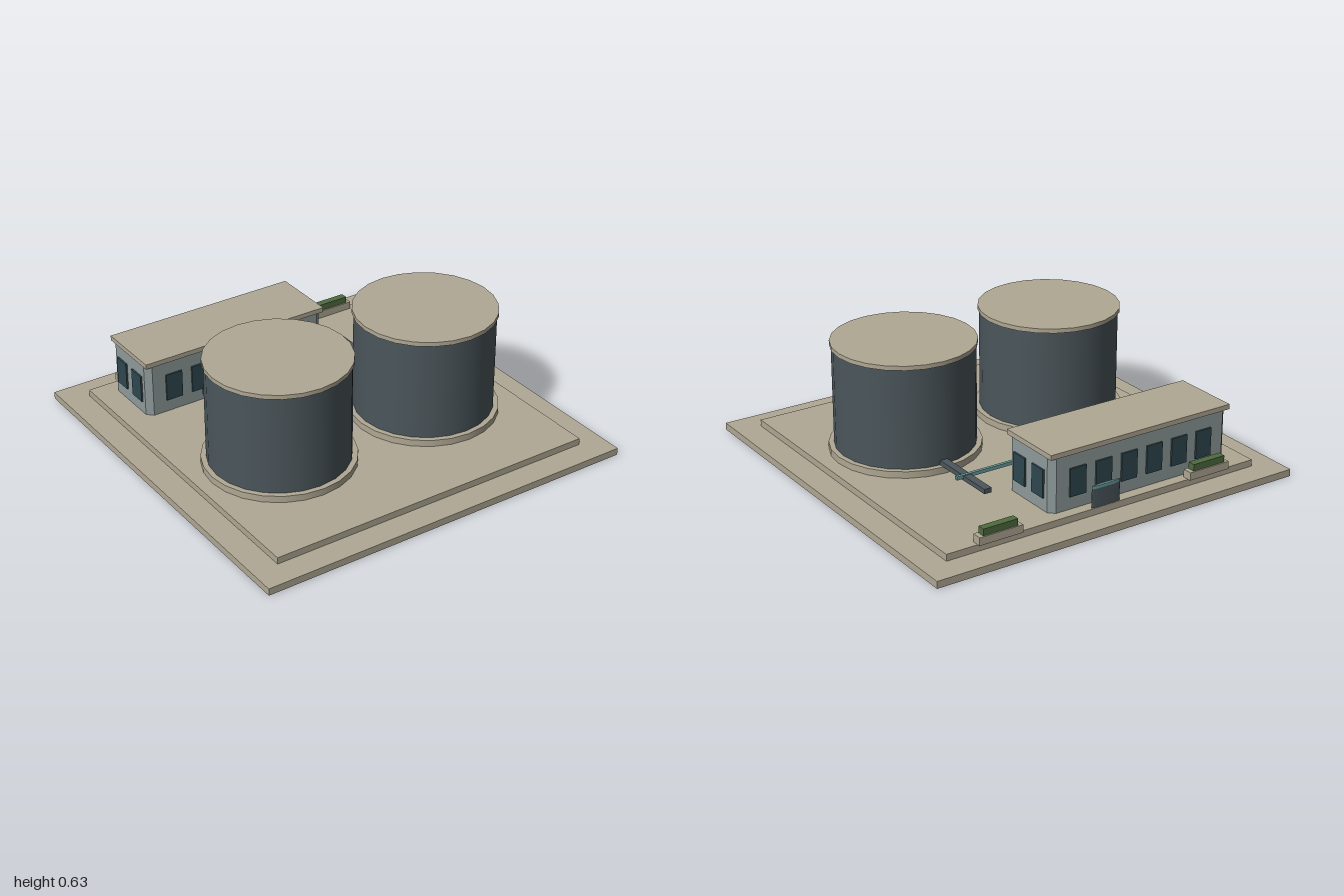
import * as THREE from 'three';

const mat = (color) => new THREE.MeshStandardMaterial({ color });
const concrete = mat(0xb0a894), steel = mat(0x4b565b), wall = mat(0x8e9a9a);
const glass = mat(0x2f474f), teal = mat(0x6a9c9c), hedge = mat(0x4f6b3f);

export function createModel() {
  const root = new THREE.Group();

  const add = (parent, name, geometry, material, x, y, z) => {
    const mesh = new THREE.Mesh(geometry, material);
    mesh.name = name;
    mesh.position.set(x, y, z);
    parent.add(mesh);
    return mesh;
  };
  // Box and drum are placed by their underside
  const box = (parent, name, m, w, h, d, x, y, z) =>
    add(parent, name, new THREE.BoxGeometry(w, h, d), m, x, y + h / 2, z);
  const drum = (parent, name, m, r, h, x, y, z) =>
    add(parent, name, new THREE.CylinderGeometry(r, r, h, 24), m, x, y + h / 2, z);
  const group = (name) => {
    const g = new THREE.Group();
    g.name = name;
    root.add(g);
    return g;
  };

  // Stepped ground slab
  box(root, 'groundSlab', concrete, 2, 0.036, 2, 0, 0, 0);
  box(root, 'yardSlab', concrete, 1.738, 0.034, 1.738, 0, 0.036, 0);

  // Two storage tanks, each with an outlet pipe
  for (const s of [-1, 1]) {
    const tank = group(s > 0 ? 'leftTank' : 'rightTank');
    drum(tank, 'tankFooting', concrete, 0.375, 0.034, s * 0.423, 0.07, 0.2);
    drum(tank, 'tankShell', steel, 0.348, 0.506, s * 0.423, 0.104, 0.2);
    drum(tank, 'tankRoof', concrete, 0.356, 0.022, s * 0.423, 0.61, 0.2);
    box(tank, 'outletPipe', steel, 0.04, 0.024, 0.41, s * 0.423, 0.104, -0.32);
  }
  box(root, 'crossPipe', teal, 0.96, 0.018, 0.016, 0, 0.114, -0.343);

  // Service building: chamfered walls under a flat roof
  const building = group('building');
  const cx = -0.2375, cz = -0.643, hw = 0.512, hd = 0.17, c = 0.03;
  const plan = new THREE.Shape([
    [-hw + c, -hd], [hw - c, -hd], [hw, -hd + c], [hw, hd - c],
    [hw - c, hd], [-hw + c, hd], [-hw, hd - c], [-hw, -hd + c],
  ].map(([x, y]) => new THREE.Vector2(x, y)));
  const walls = new THREE.ExtrudeGeometry(plan, { depth: 0.275, bevelEnabled: false });
  walls.rotateX(-Math.PI / 2);
  add(building, 'walls', walls, wall, cx, 0.07, cz);
  box(building, 'roof', concrete, 1.035, 0.025, 0.352, cx, 0.345, cz);

  // Windows: six on each long side, two on each end
  for (const s of [-1, 1]) {
    for (let i = 0; i < 6; i++)
      box(building, 'window', glass, 0.09, 0.142, 0.014, cx + (i - 2.5) * 0.146, 0.135, cz + s * 0.172);
    for (const t of [-1, 1])
      box(building, 'endWindow', glass, 0.014, 0.142, 0.09, cx + s * 0.514, 0.135, cz + t * 0.073);
  }

  // Planters with hedges along the back
  for (const x of [-0.593, 0.59]) {
    const planter = group('planter');
    box(planter, 'planterBox', concrete, 0.232, 0.04, 0.05, x, 0.07, -0.86);
    box(planter, 'planterHedge', hedge, 0.185, 0.034, 0.038, x, 0.11, -0.86);
  }

  // Slim upright marker behind the building
  const marker = group('marker');
  drum(marker, 'markerPanel', steel, 0.08, 0.095, 0, 0.07, -0.86).scale.z = 0.09;
  drum(marker, 'markerCap', teal, 0.08, 0.015, 0, 0.165, -0.86).scale.z = 0.09;

  return root;
}
